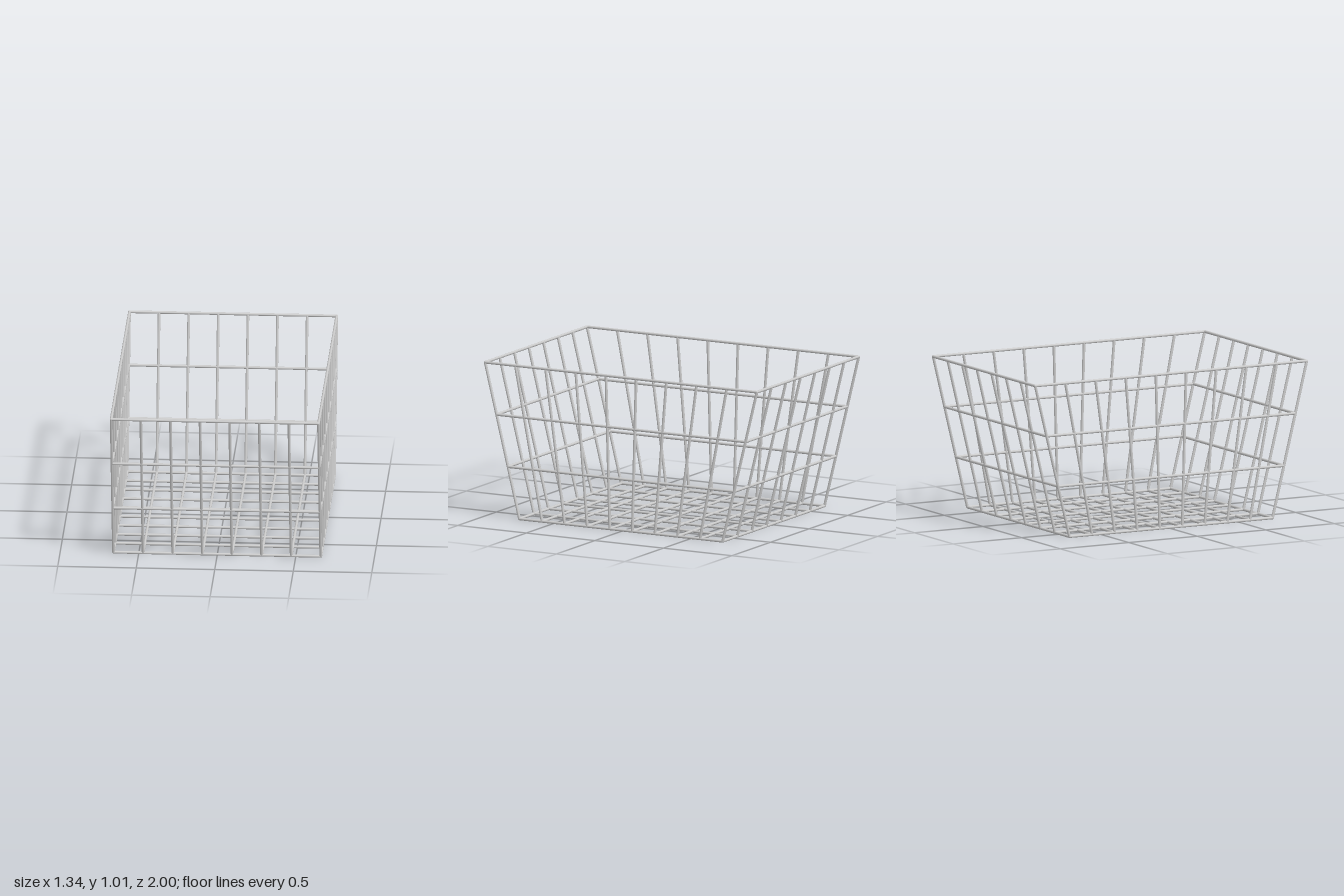
import * as THREE from 'three';

const R = 0.009;             // wire radius
const X = 0.66;              // half width
const Y0 = R, Y1 = 1.0;      // floor and rim heights
const Z0 = 0.741, Z1 = 0.991; // half length at floor and rim
const COLS = 7, ROWS = 9, LEVELS = 3;

const material = new THREE.MeshStandardMaterial({ color: 0xcccccc });
const up = new THREE.Vector3(0, 1, 0);

// Straight round wire between two points
function wire(parent, name, a, b) {
  const dir = new THREE.Vector3().subVectors(b, a);
  const mesh = new THREE.Mesh(new THREE.CylinderGeometry(R, R, dir.length(), 10), material);
  mesh.name = name;
  mesh.position.copy(a).add(b).multiplyScalar(0.5);
  mesh.quaternion.setFromUnitVectors(up, dir.normalize());
  parent.add(mesh);
}

// Point on the basket: u, w run -1..1 across and along, t runs 0..1 from floor to rim
function point(u, t, w) {
  return new THREE.Vector3(u * X, Y0 + (Y1 - Y0) * t, w * (Z0 + (Z1 - Z0) * t));
}

function part(root, name) {
  const group = new THREE.Group();
  group.name = name;
  root.add(group);
  return group;
}

export function createModel() {
  const root = new THREE.Group();
  root.name = 'wireBasket';
  const floor = part(root, 'floorGrid');
  const rings = part(root, 'horizontalRings');
  const ends = part(root, 'endWallWires');
  const sides = part(root, 'sideWallWires');
  const corners = part(root, 'cornerJoints');

  // Horizontal rings from the floor edge up to the rim
  for (let i = 0; i <= LEVELS; i++) {
    const t = i / LEVELS;
    const name = i === LEVELS ? 'rimWire' : i === 0 ? 'baseWire' : 'middleWire';
    for (const s of [-1, 1]) {
      wire(rings, name, point(-1, t, s), point(1, t, s));
      wire(rings, name, point(s, t, -1), point(s, t, 1));
    }
  }

  // Lengthwise floor wires and the sloping wires of the front and back walls
  for (let i = 0; i <= COLS; i++) {
    const u = -1 + (2 * i) / COLS;
    const isCorner = i === 0 || i === COLS;
    if (!isCorner) wire(floor, 'lengthwiseWire', point(u, 0, -1), point(u, 0, 1));
    for (const s of [-1, 1]) wire(ends, isCorner ? 'cornerPost' : 'endWire', point(u, 0, s), point(u, 1, s));
  }

  // Crosswise floor wires and the fanned wires of the side walls
  for (let i = 1; i < ROWS; i++) {
    const w = -1 + (2 * i) / ROWS;
    wire(floor, 'crosswiseWire', point(-1, 0, w), point(1, 0, w));
    for (const s of [-1, 1]) wire(sides, 'sideWire', point(s, 0, w), point(s, 1, w));
  }

  // Rounded joints at the eight corners
  const ball = new THREE.SphereGeometry(R, 10, 8);
  for (const u of [-1, 1]) for (const t of [0, 1]) for (const w of [-1, 1]) {
    const joint = new THREE.Mesh(ball, material);
    joint.name = 'cornerJoint';
    joint.position.copy(point(u, t, w));
    corners.add(joint);
  }
  return root;
}
